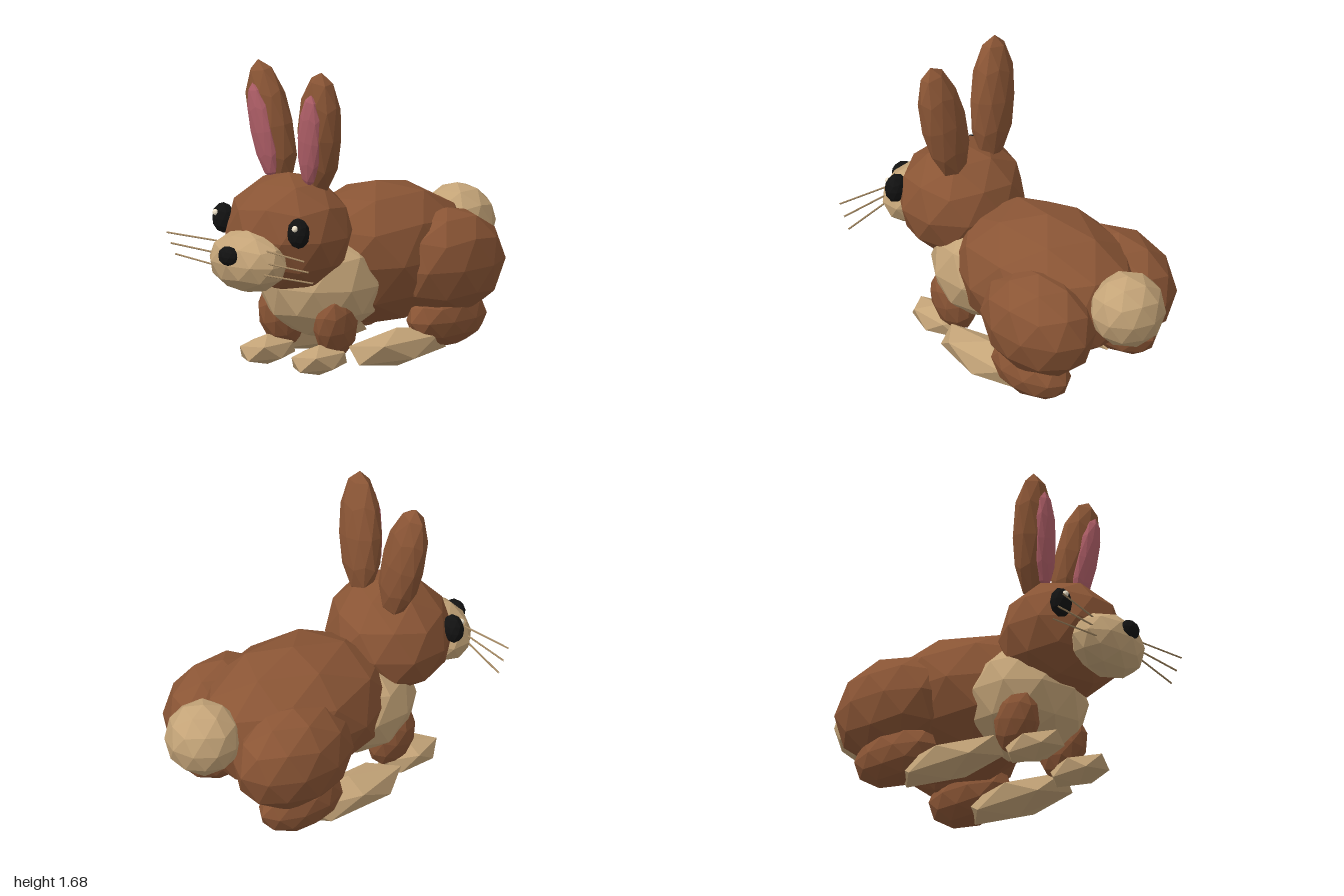
import * as THREE from 'three';

const mat = (color) => new THREE.MeshStandardMaterial({ color, flatShading: true });
const brown = mat(0x8a5535), tan = mat(0xc4a478), pink = mat(0xb05f68);
const black = mat(0x121212), cream = mat(0xf0e4cc), whiskerTan = mat(0xa08560);

// Unit icosphere with its poles on the y axis
function icoSphere(detail) {
  const v = [0, 1, 0], f = [];
  const h = Math.sqrt(0.2), r = 2 * h;
  for (const [start, y] of [[36, h], [0, -h]]) {
    for (let i = 0; i < 5; i++) {
      const a = THREE.MathUtils.degToRad(start + 72 * i);
      v.push(r * Math.cos(a), y, -r * Math.sin(a));
    }
  }
  v.push(0, -1, 0);
  for (let i = 0; i < 5; i++) {
    const j = (i + 1) % 5;
    const u0 = 1 + i, u1 = 1 + j, l0 = 6 + i, l1 = 6 + j;
    f.push(0, u0, u1, u0, l0, l1, u0, l1, u1, 11, l1, l0);
  }
  return new THREE.PolyhedronGeometry(v, f, 1, detail);
}

export function createModel() {
  const model = new THREE.Group();
  model.name = 'rabbit';
  const faceted = icoSphere(1), coarse = icoSphere(0);

  // Ellipsoid part: centre, radii, rotation
  function blob(name, material, pos, radii, rot = [0, 0, 0], geometry = faceted, parent = model) {
    const m = new THREE.Mesh(geometry, material);
    m.name = name;
    m.position.set(...pos);
    m.scale.set(...radii);
    m.rotation.set(...rot);
    parent.add(m);
    return m;
  }

  // Body and head
  blob('body', brown, [0, 0.56, -0.17], [0.42, 0.39, 0.6]);
  blob('chest', tan, [0, 0.47, 0.25], [0.35, 0.315, 0.33]);
  blob('tail', tan, [0, 0.63, -0.79], [0.21, 0.21, 0.21]);
  blob('head', brown, [0, 0.775, 0.495], [0.36, 0.325, 0.335]);
  blob('muzzle', tan, [0, 0.66, 0.805], [0.25, 0.17, 0.17]);
  blob('nose', black, [0, 0.71, 0.955], [0.066, 0.055, 0.045]);

  for (const [side, s] of [['left', 1], ['right', -1]]) {
    // Eyes
    blob(side + 'Eye', black, [s * 0.283, 0.84, 0.707], [0.068, 0.084, 0.055]);
    blob(side + 'EyeHighlight', cream, [s * 0.299, 0.873, 0.75], [0.018, 0.018, 0.018]);

    // Ear with its pink inside, leaning outward and forward
    const ear = new THREE.Group();
    ear.name = side + 'Ear';
    ear.position.set(s * 0.182, 1.33, 0.445);
    ear.rotation.set(0.12, 0, -s * 0.16);
    blob(side + 'OuterEar', brown, [0, 0, 0], [0.14, 0.36, 0.1], [0, 0, 0], faceted, ear);
    blob(side + 'InnerEar', pink, [0, -0.02, 0.075], [0.08, 0.27, 0.042], [0, 0, 0], faceted, ear);
    model.add(ear);

    // Hind leg
    blob(side + 'Haunch', brown, [s * 0.3, 0.51, -0.41], [0.255, 0.3, 0.365]);
    blob(side + 'LowerHindLeg', brown, [s * 0.325, 0.22, -0.38], [0.15, 0.16, 0.27]);
    blob(side + 'HindFoot', tan, [s * 0.3, 0.105, -0.03], [0.145, 0.105, 0.39], [0, 0, 0], coarse);

    // Front leg
    blob(side + 'FrontLeg', brown, [s * 0.205, 0.265, 0.345], [0.105, 0.185, 0.135], [0.25, 0, -s * 0.15]);
    blob(side + 'FrontFoot', tan, [s * 0.195, 0.092, 0.46], [0.118, 0.083, 0.21], [0, 0, 0], coarse);

    // Whiskers, fanned front to back
    for (let i = -1; i <= 1; i++) {
      const y = 0.687 + i * 0.062;
      const path = new THREE.LineCurve3(
        new THREE.Vector3(s * 0.17, y, 0.866 - i * 0.02),
        new THREE.Vector3(s * 0.52, y + i * 0.003, 0.866 + i * 0.034));
      const whisker = new THREE.Mesh(new THREE.TubeGeometry(path, 1, 0.005, 6), whiskerTan);
      whisker.name = side + 'Whisker' + (i + 2);
      model.add(whisker);
    }
  }
  return model;
}
